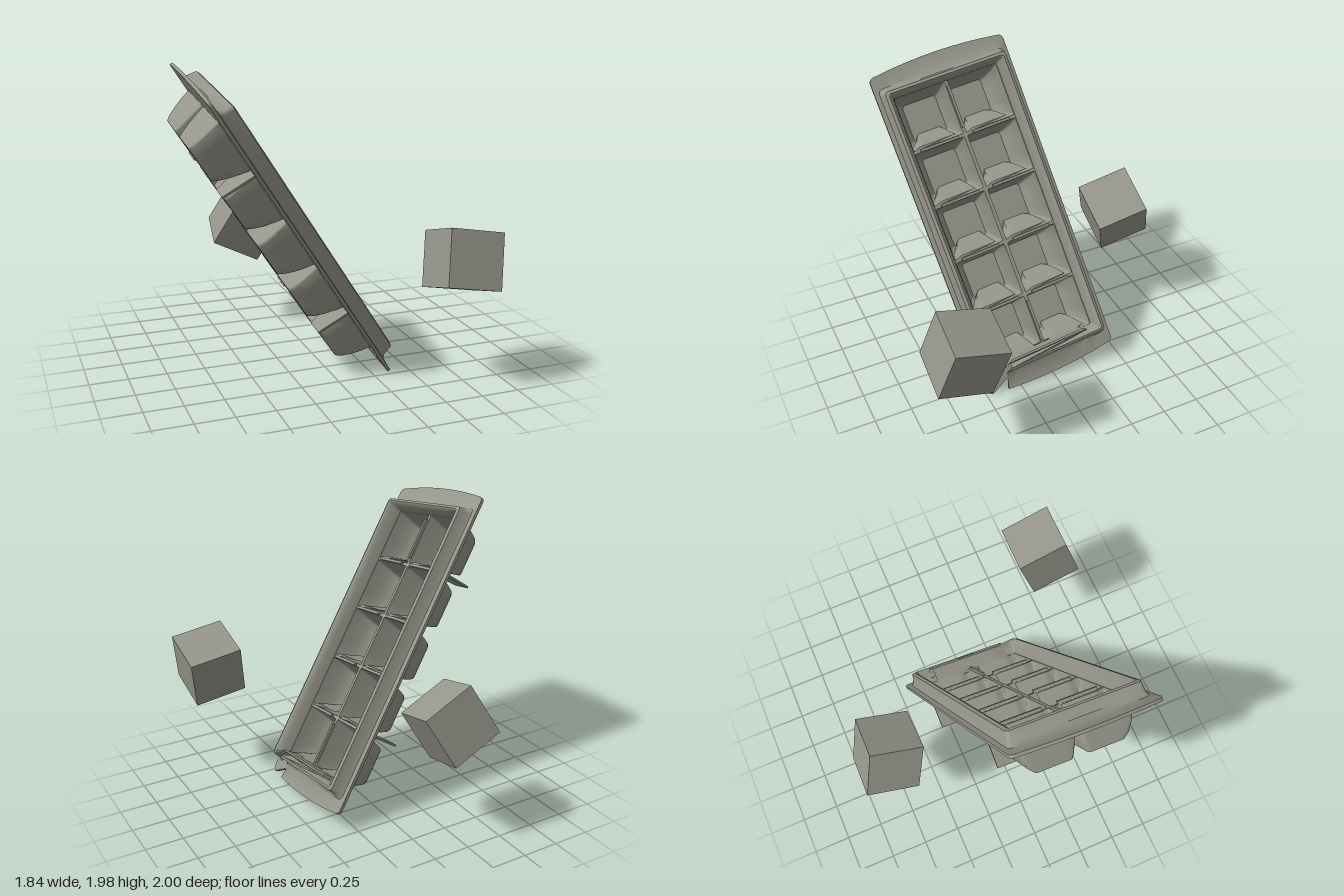
import * as THREE from 'three';
import { toCreasedNormals } from 'three/addons/utils/BufferGeometryUtils.js';

const plastic = new THREE.MeshStandardMaterial({ color: 0x96958a, side: THREE.DoubleSide });
plastic.name = 'warm grey';

function add(parent, name, geometry) {
  const mesh = new THREE.Mesh(geometry, plastic);
  mesh.name = name;
  parent.add(mesh);
  return mesh;
}

// Rounded rectangle loop; the short ends bow outwards by 'bow'
function rectLoop({ x0, x1, y0, y1, z, r, bow = 0 }) {
  const pts = [], cx = (x0 + x1) / 2, half = (x1 - x0) / 2, cy = (y0 + y1) / 2;
  const corners = [[x1 - r, y0 + r, -90], [x1 - r, y1 - r, 0], [x0 + r, y1 - r, 90], [x0 + r, y0 + r, 180]];
  corners.forEach(([x, y, start], k) => {
    for (let i = 0; i <= 4; i++) {
      const t = THREE.MathUtils.degToRad(start + i * 22.5);
      pts.push([x + r * Math.cos(t), y + r * Math.sin(t)]);
    }
    const next = corners[(k + 1) % 4];
    if (k % 2 === 1) {
      const sy = y + r;
      for (let i = 1; i < 8; i++) pts.push([x + (next[0] - x) * i / 8, sy]);
    } else if (k % 2 === 0) {
      for (let i = 1; i < 4; i++) pts.push([k === 0 ? x1 : x0, y + (next[1] - y) * i / 4]);
    }
    if (k === 3) for (let i = 1; i < 8; i++) pts.push([x + (next[0] - x) * i / 8, y0]);
  });
  return pts.map(([x, y]) => {
    const end = Math.abs(y - cy) / ((y1 - y0) / 2);
    const push = bow * (1 - ((x - cx) / half) ** 2) * end ** 8;
    return [x, y + Math.sign(y - cy) * push, z];
  });
}

// Skin through a list of loops, with an optional flat cap on the last one
function loft(sections, cap, crease) {
  const loops = sections.map(rectLoop), n = loops[0].length;
  const pos = [], index = [];
  loops.forEach(l => l.forEach(p => pos.push(...p)));
  for (let s = 0; s < loops.length - 1; s++) {
    for (let i = 0; i < n; i++) {
      const a = s * n + i, b = s * n + (i + 1) % n;
      index.push(a, a + n, b, b, a + n, b + n);
    }
  }
  if (cap) {
    const s = sections[sections.length - 1], base = (loops.length - 1) * n, c = pos.length / 3;
    pos.push((s.x0 + s.x1) / 2, (s.y0 + s.y1) / 2, s.z);
    for (let i = 0; i < n; i++) index.push(base + i, c, base + (i + 1) % n);
  }
  const g = new THREE.BufferGeometry();
  g.setAttribute('position', new THREE.Float32BufferAttribute(pos, 3));
  g.setIndex(index);
  return toCreasedNormals(g, crease);
}

function box(parent, name, size, at) {
  return add(parent, name, new THREE.BoxGeometry(...size)).position.set(...at);
}

// Place an object by its three axes and centre
function orient(obj, x, y, z, centre) {
  const [ax, ay, az] = [x, y, z].map(v => new THREE.Vector3(...v).normalize());
  obj.quaternion.setFromRotationMatrix(new THREE.Matrix4().makeBasis(ax, ay, az));
  obj.position.set(...centre);
}

const PITCH = 0.383;

function createTray() {
  const tray = new THREE.Group();
  tray.name = 'iceTray';

  // Rim: inner slope, raised lip, then wide flange with bowed ends
  const ring = (w, h, z, r, bow) => ({ x0: -w, x1: w, y0: -h, y1: h, z, r, bow });
  add(tray, 'rim', loft([
    ring(0.368, 0.948, 0, 0.01), ring(0.378, 0.962, 0.06, 0.015), ring(0.392, 0.972, 0.095, 0.02),
    ring(0.405, 0.982, 0.103, 0.02), ring(0.425, 1.0, 0.095, 0.025), ring(0.436, 1.012, 0.03, 0.03),
    ring(0.445, 1.03, 0.008, 0.03, 0.01), ring(0.475, 1.115, 0.002, 0.03, 0.035),
    ring(0.475, 1.115, -0.018, 0.03, 0.035), ring(0.368, 0.948, -0.018, 0.01),
  ], false, 0.7));

  // Deck with ten openings
  const deck = new THREE.Shape([[-0.37, -0.95], [0.37, -0.95], [0.37, 0.95], [-0.37, 0.95]]
    .map(p => new THREE.Vector2(...p)));
  const wells = [];
  for (const side of [-1, 1]) {
    for (let row = -2; row <= 2; row++) {
      const y = row * PITCH;
      const span = (inner, outer, half, z, r) => ({
        x0: side > 0 ? inner : -outer, x1: side > 0 ? outer : -inner, y0: y - half, y1: y + half, z, r,
      });
      const top = span(0.012, 0.364, 0.181, 0, 0.008);
      deck.holes.push(new THREE.Path(rectLoop(top).map(p => new THREE.Vector2(p[0], p[1]))));
      wells.push(loft([
        top, span(0.018, 0.358, 0.168, -0.07, 0.012), span(0.026, 0.345, 0.152, -0.14, 0.016),
        span(0.036, 0.322, 0.136, -0.2, 0.02), span(0.05, 0.29, 0.127, -0.234, 0.022),
      ], true, 0.75));
    }
  }
  add(tray, 'deck', new THREE.ShapeGeometry(deck));
  wells.forEach(g => add(tray, 'iceWell', g));

  // Raised divider ridges, stopping short of the crossings
  for (const side of [-1, 1]) {
    for (const k of [-1.5, -0.5, 0.5, 1.5]) {
      box(tray, 'crossDivider', [0.27, 0.018, 0.03], [side * 0.187, k * PITCH, 0.005]);
    }
    box(tray, 'centreDivider', [0.018, 0.29, 0.03], [0, side * 2 * PITCH, 0.005]);

    // Thin feet under the outer edges
    for (const k of [-1.5, 1.5]) {
      const foot = new THREE.Shape([[0.2, -0.01], [0.43, -0.01], [0.41, -0.24], [0.28, -0.24]]
        .map(([x, y]) => new THREE.Vector2(side * x, y)));
      const g = new THREE.ExtrudeGeometry(foot, { depth: 0.014, bevelEnabled: false });
      g.rotateX(Math.PI / 2);
      g.scale(1, 1, 1);
      g.translate(0, k * PITCH + 0.007, 0);
      add(tray, 'foot', g);
    }
  }
  return tray;
}

export function createModel() {
  const model = new THREE.Group();
  model.name = 'iceTrayWithCubes';

  const tray = createTray();
  orient(tray, [0, 0.137, -0.99], [-0.55, 0.828, 0.114], [0.835, 0.545, 0.075], [-0.243, 1.0, 0.145]);
  model.add(tray);

  // Two loose cubes
  const cube = new THREE.BoxGeometry(0.357, 0.357, 0.357);
  orient(add(model, 'frontIceCube', cube),
    [0.35, -0.06, 0.02], [0.06, 0.335, -0.1], [0, 0.1, 0.34], [0.705, 0.815, 0.77]);
  orient(add(model, 'backIceCube', cube),
    [0.32, -0.16, 0], [0.15, 0.3, 0.11], [-0.05, -0.1, 0.34], [-0.24, 0.78, -0.77]);
  return model;
}
